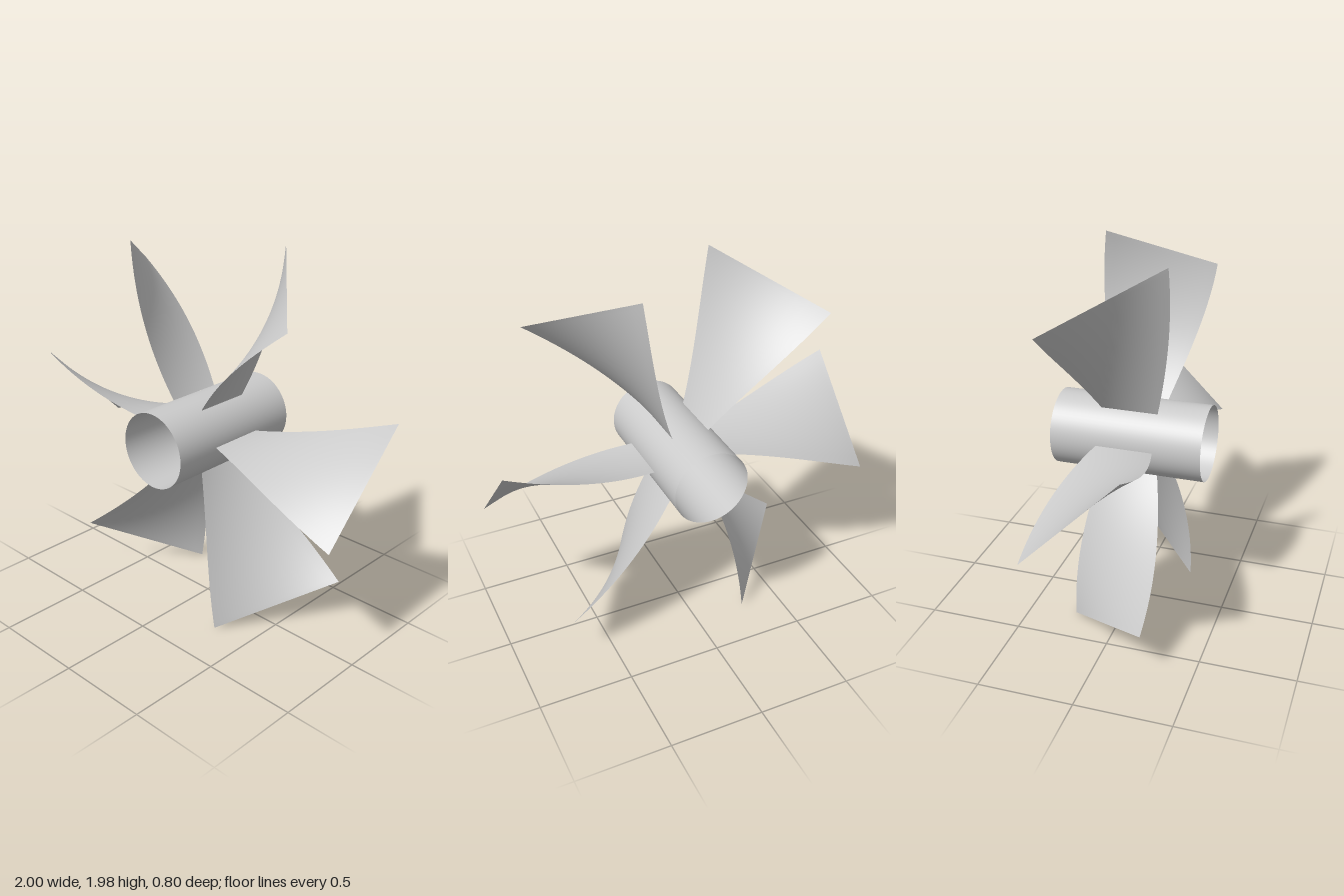
import * as THREE from 'three';

const HUB_RADIUS = 0.2;
const HUB_LENGTH = 0.8;
const BLADE_COUNT = 6;
const AXIS_HEIGHT = 0.99;

// Blade along +x: the chord widens and twists 45 degrees from root to tip.
function bladeGeometry() {
  const geometry = new THREE.PlaneGeometry(1, 2, 32, 12);
  const pos = geometry.attributes.position;
  for (let i = 0; i < pos.count; i++) {
    const t = pos.getX(i) + 0.5;
    const s = pos.getY(i);
    const halfChord = THREE.MathUtils.lerp(0.15, 0.35, t);
    const twist = t * Math.PI / 4;
    pos.setXYZ(
      i,
      THREE.MathUtils.lerp(HUB_RADIUS, 1, t),
      s * halfChord * Math.sin(twist),
      -s * halfChord * Math.cos(twist)
    );
  }
  geometry.computeVertexNormals();
  return geometry;
}

export function createModel() {
  const model = new THREE.Group();
  model.name = 'propeller';
  const material = new THREE.MeshStandardMaterial({ color: 0xcccccc, side: THREE.DoubleSide });

  // Open hub tube along z
  const hubGeometry = new THREE.CylinderGeometry(HUB_RADIUS, HUB_RADIUS, HUB_LENGTH, 64, 1, true);
  hubGeometry.rotateX(Math.PI / 2);
  const hub = new THREE.Mesh(hubGeometry, material);
  hub.name = 'hub';
  hub.position.y = AXIS_HEIGHT;
  model.add(hub);

  // Twisted blades evenly spaced around the hub
  const geometry = bladeGeometry();
  for (let i = 0; i < BLADE_COUNT; i++) {
    const blade = new THREE.Mesh(geometry, material);
    blade.name = `blade${i + 1}`;
    blade.position.y = AXIS_HEIGHT;
    blade.rotation.z = (i / BLADE_COUNT) * Math.PI * 2;
    model.add(blade);
  }

  return model;
}
